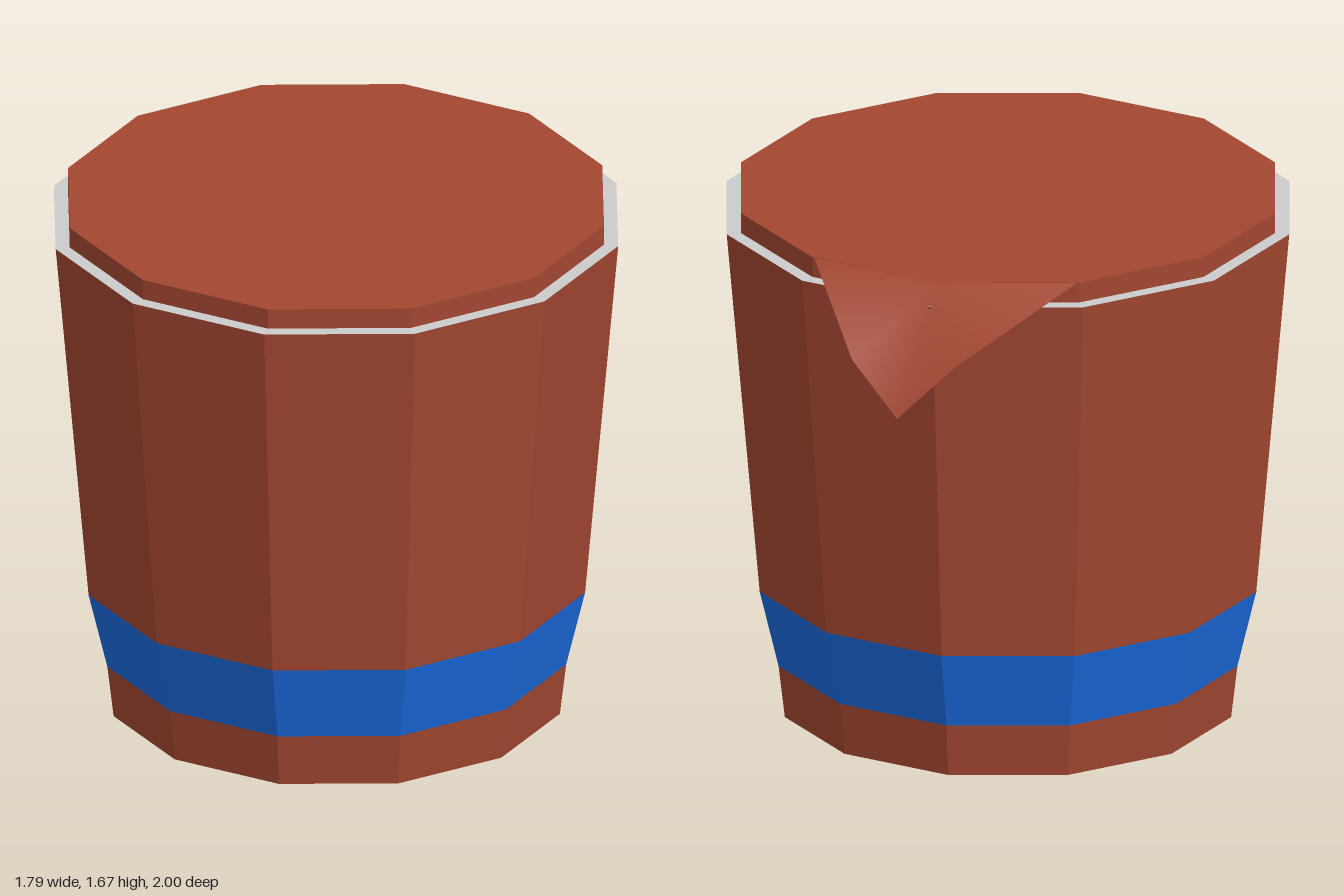
import * as THREE from 'three';

const SIDES = 12;
const CENTRE_Z = 0.105;

const brown = new THREE.MeshStandardMaterial({ color: 0xa34731, flatShading: true });
const blue = new THREE.MeshStandardMaterial({ color: 0x1a6be0, flatShading: true });
const grey = new THREE.MeshStandardMaterial({ color: 0xcccccc, flatShading: true });
const foil = new THREE.MeshStandardMaterial({ color: 0xa34731, side: THREE.DoubleSide });

// Twelve-sided ring of the cup from a list of [radius, height]
function ring(name, profile, material) {
  const points = profile.map(([r, y]) => new THREE.Vector2(r, y));
  const mesh = new THREE.Mesh(new THREE.LatheGeometry(points, SIDES), material);
  mesh.name = name;
  mesh.position.z = CENTRE_Z;
  return mesh;
}

// Folded pull tab hanging from the back corners of the lid
function pullTab() {
  const corners = [
    -0.42, 1.67, -0.63, // lid corner
    0, 1.67, -0.745, // lid back corner
    0.42, 1.67, -0.63, // lid corner
    0.2, 1.49, -1, // outer tip
    0.07, 1.29, -0.95, // drooping middle tip
    -0.12, 1.49, -1, // outer tip
  ];
  const geometry = new THREE.BufferGeometry();
  geometry.setAttribute('position', new THREE.Float32BufferAttribute(corners, 3));
  geometry.setIndex([0, 1, 5, 1, 4, 5, 1, 2, 3, 1, 3, 4]);
  geometry.computeVertexNormals();
  const mesh = new THREE.Mesh(geometry, foil);
  mesh.name = 'pullTab';
  return mesh;
}

export function createModel() {
  const group = new THREE.Group();
  group.name = 'cup';
  group.add(
    // Foot with a recessed underside
    ring('base', [[0, 0.08], [0.67, 0.08], [0.67, 0], [0.71, 0], [0.73, 0.17]], brown),
    ring('colourBand', [[0.73, 0.17], [0.79, 0.42]], blue),
    ring('body', [[0.79, 0.42], [0.895, 1.605]], brown),
    // Flat ledge around the lid
    ring('rim', [[0.895, 1.605], [0.85, 1.605]], grey),
    ring('lid', [[0.85, 1.605], [0.85, 1.67], [0, 1.67]], brown),
    pullTab(),
  );
  return group;
}
